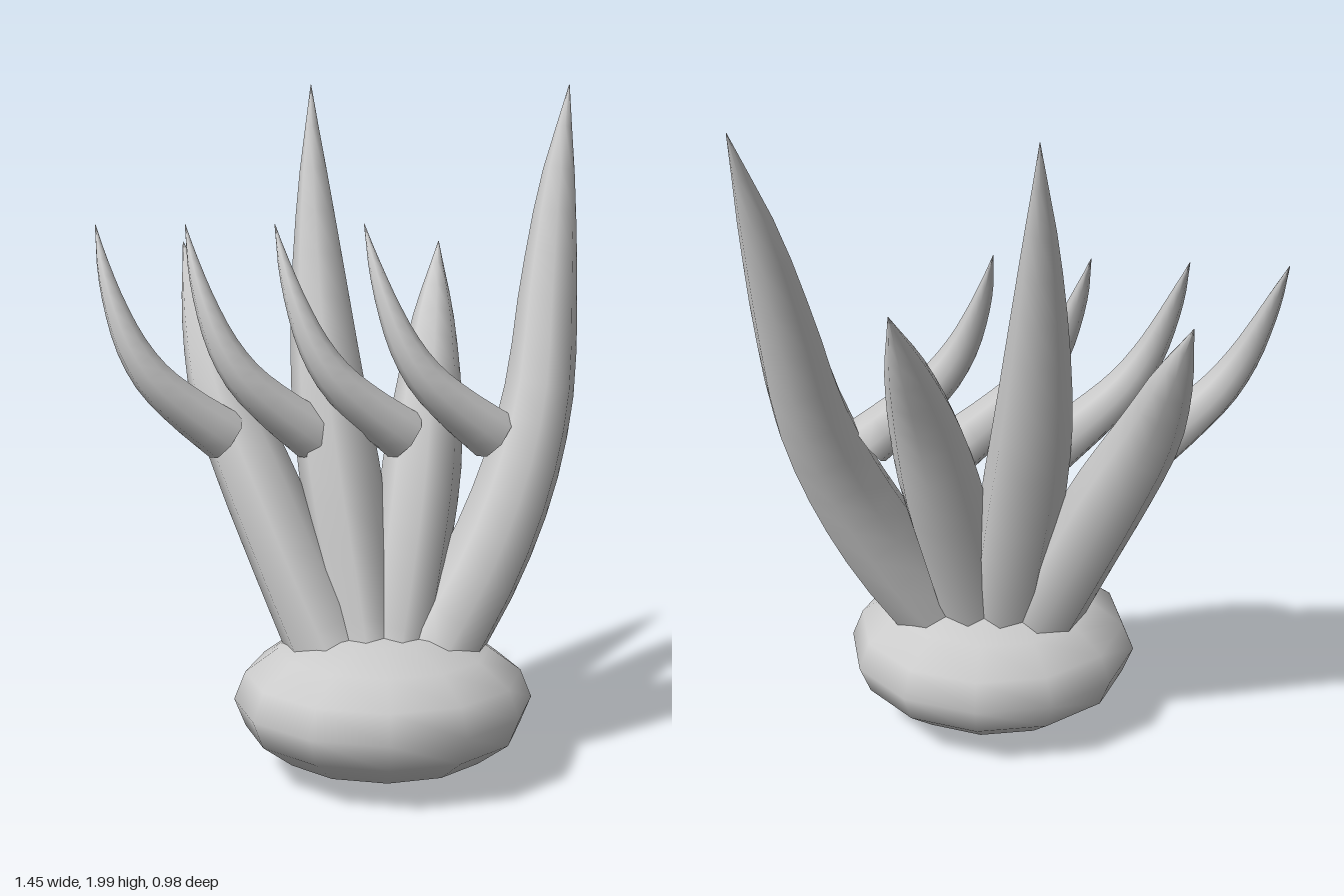
import * as THREE from 'three';

const material = new THREE.MeshStandardMaterial({ color: 0xcccccc, side: THREE.DoubleSide });

// Tapered sweep: each station is [x, y, z, side radius, depth radius]
function taper(name, stations, sides = 8, steps = 14) {
  const path = new THREE.CatmullRomCurve3(stations.map(s => new THREE.Vector3(s[0], s[1], s[2])));
  const radii = new THREE.CatmullRomCurve3(stations.map(s => new THREE.Vector3(s[3], s[4], 0)));
  const zAxis = new THREE.Vector3(0, 0, 1);
  const positions = [], index = [];
  for (let i = 0; i <= steps; i++) {
    const t = i / steps;
    const c = path.getPoint(t), r = radii.getPoint(t), tangent = path.getTangent(t);
    const side = new THREE.Vector3().crossVectors(tangent, zAxis).normalize();
    const depth = new THREE.Vector3().crossVectors(side, tangent);
    for (let j = 0; j < sides; j++) {
      const a = (j / sides) * Math.PI * 2;
      const p = c.clone()
        .addScaledVector(side, Math.max(r.x, 0.001) * Math.sin(a))
        .addScaledVector(depth, Math.max(r.y, 0.001) * Math.cos(a));
      positions.push(p.x, p.y, p.z);
      if (i < steps) {
        const k = (j + 1) % sides, n = i * sides, m = n + sides;
        index.push(n + j, n + k, m + j, n + k, m + k, m + j);
      }
    }
  }
  // Root cap with its own vertices, so its edge stays sharp
  const first = positions.length / 3;
  positions.push(...positions.slice(0, sides * 3));
  for (let j = 1; j < sides - 1; j++) index.push(first, first + j + 1, first + j);
  const geometry = new THREE.BufferGeometry();
  geometry.setAttribute('position', new THREE.Float32BufferAttribute(positions, 3));
  geometry.setIndex(index);
  geometry.computeVertexNormals();
  const mesh = new THREE.Mesh(geometry, material);
  mesh.name = name;
  return mesh;
}

export function createModel() {
  const group = new THREE.Group();
  group.name = 'hornedGrowth';

  // Squashed round base
  const base = new THREE.Mesh(new THREE.SphereGeometry(1, 12, 8), material);
  base.name = 'base';
  base.scale.set(0.44, 0.218, 0.418);
  base.position.set(0.12, 0.226, 0.073);
  group.add(base);

  // Four large horns fanning up and back
  group.add(
    taper('tallLeftHorn', [
      [0.25, 0.32, 0.05, 0.13, 0.17], [0.42, 0.6, -0.035, 0.125, 0.16],
      [0.53, 0.85, -0.11, 0.118, 0.145], [0.6, 1.1, -0.195, 0.106, 0.125],
      [0.635, 1.4, -0.295, 0.088, 0.085], [0.668, 1.7, -0.39, 0.056, 0.045],
      [0.712, 2.0, -0.49, 0, 0]]),
    taper('tallMiddleHorn', [
      [0.08, 0.32, 0.05, 0.12, 0.17], [0.04, 0.6, -0.035, 0.12, 0.16],
      [0, 0.85, -0.11, 0.122, 0.145], [-0.035, 1.1, -0.195, 0.112, 0.125],
      [-0.06, 1.4, -0.295, 0.085, 0.085], [-0.075, 1.7, -0.39, 0.048, 0.045],
      [-0.082, 2.0, -0.49, 0, 0]]),
    taper('shortLeftHorn', [
      [0.15, 0.32, 0.05, 0.11, 0.17], [0.2, 0.6, -0.035, 0.115, 0.16],
      [0.24, 0.85, -0.125, 0.12, 0.14], [0.27, 1.1, -0.235, 0.1, 0.1],
      [0.293, 1.32, -0.365, 0.06, 0.06], [0.314, 1.52, -0.49, 0, 0]]),
    taper('shortRightHorn', [
      [-0.01, 0.32, 0.05, 0.13, 0.17], [-0.14, 0.6, -0.035, 0.12, 0.16],
      [-0.25, 0.85, -0.125, 0.115, 0.14], [-0.36, 1.1, -0.235, 0.095, 0.1],
      [-0.425, 1.32, -0.365, 0.058, 0.06], [-0.48, 1.52, -0.49, 0, 0]]));

  // Row of four identical hooked tendrils
  for (let i = 0; i < 4; i++) {
    const hook = taper(`hook${i + 1}`, [
      [0.455, 0.98, -0.105, 0.08, 0.082], [0.345, 1.068, -0.07, 0.068, 0.073],
      [0.25, 1.16, -0.048, 0.058, 0.065], [0.185, 1.26, -0.05, 0.047, 0.054],
      [0.138, 1.37, -0.078, 0.034, 0.043], [0.102, 1.48, -0.128, 0.02, 0.027],
      [0.072, 1.6, -0.21, 0, 0]]);
    hook.position.x = -0.265 * i;
    group.add(hook);
  }
  return group;
}
